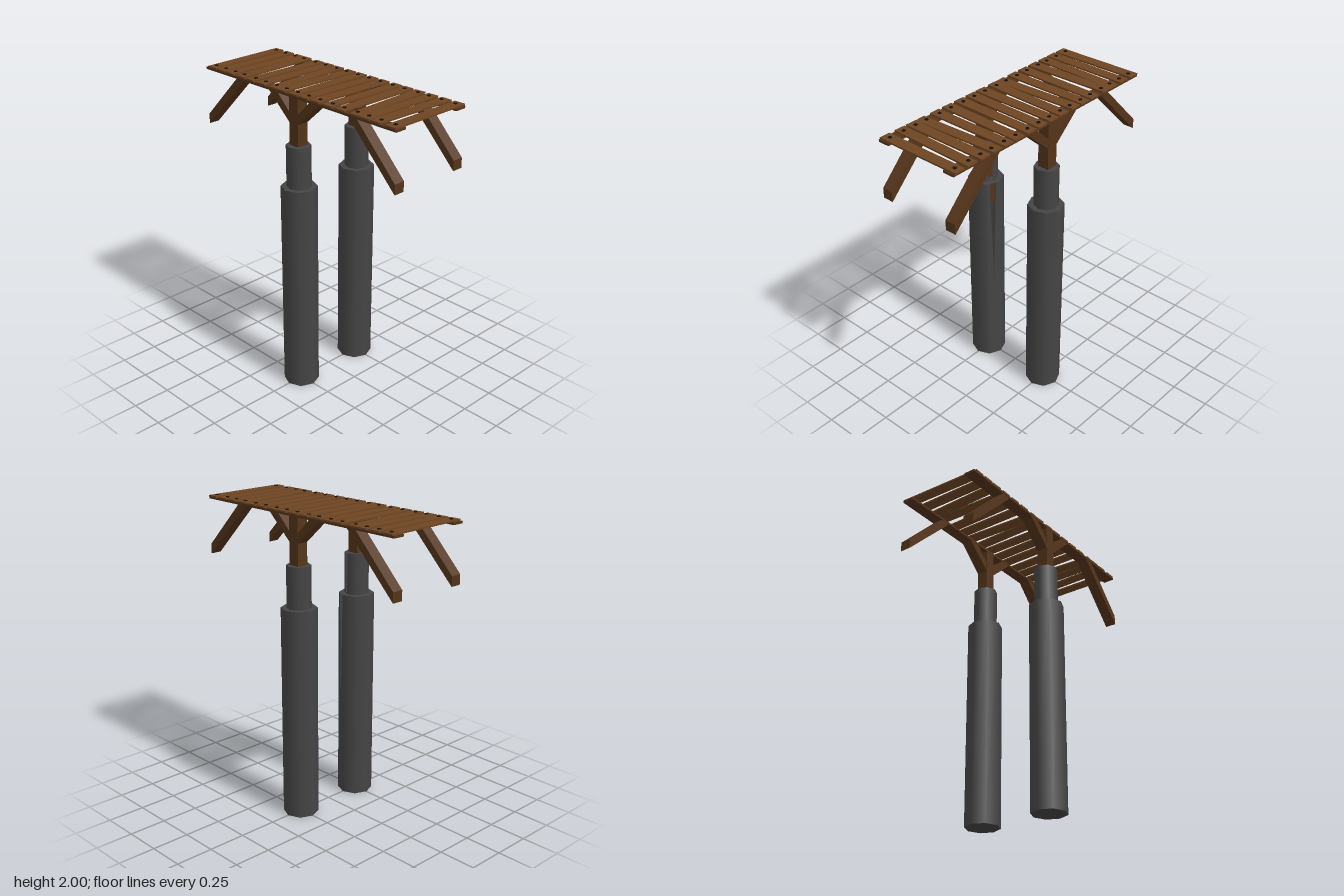
import * as THREE from 'three';

const mat = (color, extra = {}) => new THREE.MeshStandardMaterial({ color, ...extra });

export function createModel() {
  const model = new THREE.Group();
  const stone = mat(0x454545, { side: THREE.DoubleSide });
  const beamWood = mat(0x54341a);
  const plankWood = mat(0x6e4522);
  const iron = mat(0x141210);

  const add = (name, geometry, material, x = 0, y = 0, z = 0, parent = model) => {
    const mesh = new THREE.Mesh(geometry, material);
    mesh.name = name;
    mesh.position.set(x, y, z);
    parent.add(mesh);
    return mesh;
  };
  const box = (name, w, h, d, x, y, z, material) =>
    add(name, new THREE.BoxGeometry(w, h, d), material, x, y, z);

  // Eight-sided column drum from y0 to y1
  const drum = (name, r, y0, y1, z) =>
    add(name, new THREE.CylinderGeometry(r, r, y1 - y0, 8), stone, 0, (y0 + y1) / 2, z);

  // Drum whose one inner facet is split by a tapering crack down to tipY
  const crackedDrum = (name, r, y0, y1, z, gap, tipY, tipGap) => {
    const group = new THREE.Group();
    group.name = name;
    group.position.z = z;
    model.add(group);
    const h = y1 - y0;
    add(name + 'Wall', new THREE.CylinderGeometry(r, r, h, 7, 1, true, Math.PI, Math.PI * 1.75),
      stone, 0, y0 + h / 2, 0, group);
    for (const y of [y0, y1]) {
      const cap = add(name + 'Cap', new THREE.CircleGeometry(r, 8), stone, 0, y, 0, group);
      cap.rotation.x = y === y0 ? Math.PI / 2 : -Math.PI / 2;
    }
    const half = r * Math.sin(Math.PI / 8);
    const apothem = r * Math.cos(Math.PI / 8);
    const angle = Math.PI * 7 / 8;
    for (const s of [-1, 1]) {
      const shape = new THREE.Shape([[0, y0], [s * half, y0], [s * half, y1], [s * gap, y1],
        [s * tipGap, tipY], [0, tipY - 0.002]].map(p => new THREE.Vector2(...p)));
      const facet = add(name + 'SplitFacet', new THREE.ShapeGeometry(shape), stone,
        apothem * Math.sin(angle), 0, apothem * Math.cos(angle), group);
      facet.rotation.y = angle;
    }
  };

  // Columns: the back one is whole, the front one is cracked on its inner side
  drum('backColumn', 0.115, 0, 1.4, -0.25);
  drum('backColumnNeck', 0.078, 1.4, 1.67, -0.25);
  crackedDrum('frontColumn', 0.115, 0, 1.4, 0.252, 0.022, 0.65, 0);
  crackedDrum('frontColumnNeck', 0.078, 1.4, 1.67, 0.252, 0.022, 1.41, 0.012);

  // Diagonal brace cut from a side outline
  const brace = (name, points, side, z) => {
    const pts = points.map(([x, y]) => new THREE.Vector2(side * x, y));
    const geometry = new THREE.ExtrudeGeometry(new THREE.Shape(pts), { depth: 0.074, bevelEnabled: false });
    add(name, geometry, beamWood, 0, 0, z - 0.037);
  };

  // Timber frame above each column
  for (const z of [-0.252, 0.252]) {
    box('post', 0.076, 1.975 - 1.2, 0.076, 0, (1.975 + 1.2) / 2, z, beamWood);
    box('rail', 1.64, 0.014, 0.078, 0, 1.979, z, beamWood);
    for (const side of [-1, 1]) {
      brace('outerBrace', [[0.82, 1.605], [0.82, 1.67], [0.52, 1.975], [0.45, 1.975]], side, z);
      brace('innerBrace', [[0.03, 1.805], [0.22, 1.975], [0.14, 1.975], [0.03, 1.87]], side, z);
    }
  }

  // Deck planks, each slightly askew, with a nail at both ends
  const planks = [[-0.77, 3], [-0.675, 0], [-0.58, -4], [-0.495, 4], [-0.387, -2], [-0.292, 0],
    [-0.192, 6], [-0.103, -4], [-0.003, 0], [0.092, -3], [0.187, -2], [0.29, -3], [0.385, 0],
    [0.49, 6], [0.576, 0], [0.67, -4], [0.775, 0]];
  for (const [x, skew] of planks) {
    const plank = box('plank', 0.074, 0.01, 0.588, x, 1.991, -0.003, plankWood);
    plank.rotation.y = skew * 0.0075;
    for (const z of [-0.257, 0.247]) {
      add('nail', new THREE.CylinderGeometry(0.012, 0.012, 0.01, 8), iron, x, 1.995, z);
    }
  }
  return model;
}
